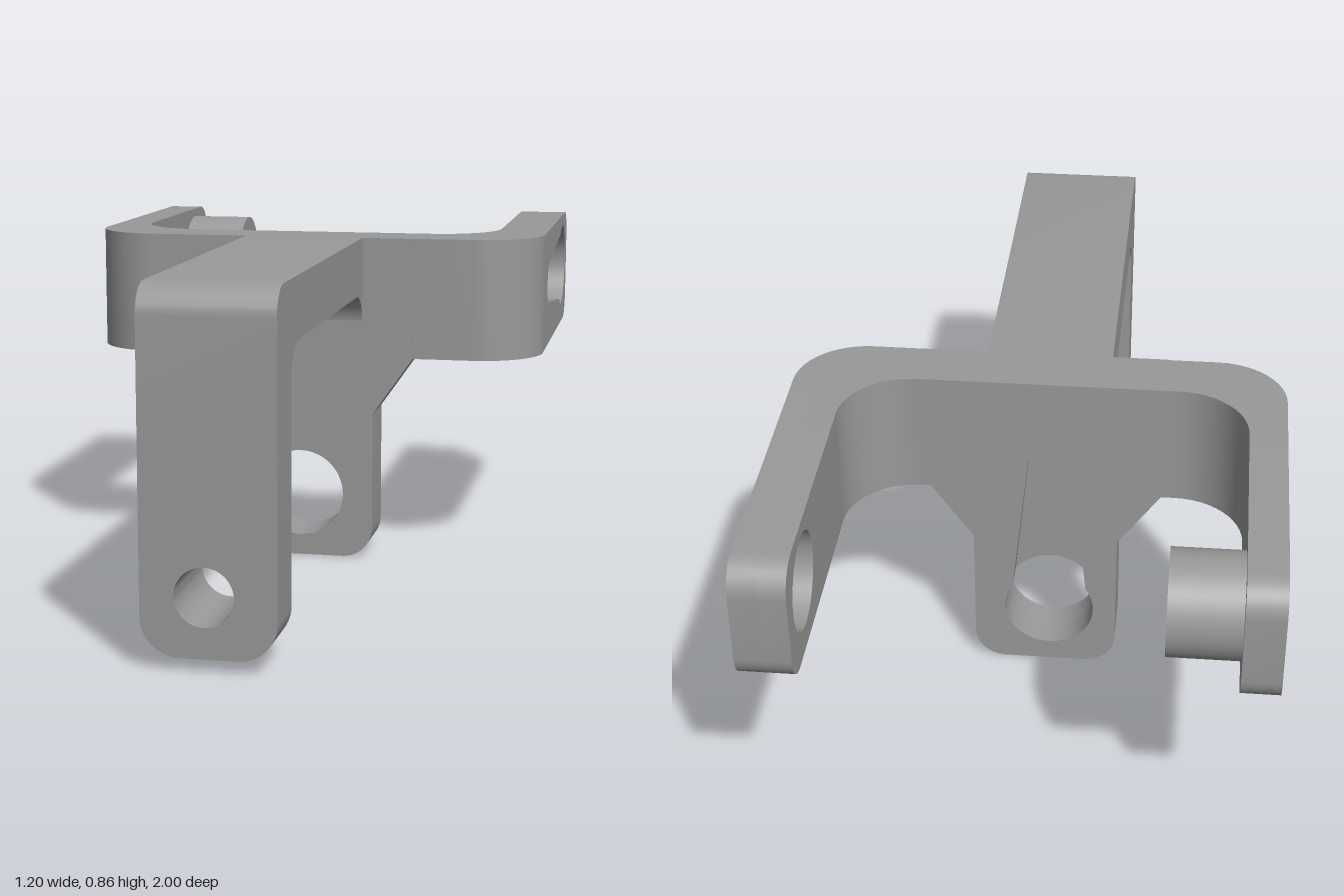
import * as THREE from 'three';
import { toCreasedNormals } from 'three/addons/utils/BufferGeometryUtils.js';

// Closed outline from [x, y, r] corners; r rounds a right-angled corner
function outline(corners) {
  const pts = [];
  corners.forEach(([x, y, r], i) => {
    const p = new THREE.Vector2(x, y);
    if (!r) { pts.push(p); return; }
    const n = corners.length;
    const toward = (c) => new THREE.Vector2(c[0], c[1]).sub(p).normalize();
    const d1 = toward(corners[(i + n - 1) % n]);
    const d2 = toward(corners[(i + 1) % n]);
    const c = p.clone().addScaledVector(d1, r).addScaledVector(d2, r);
    for (let k = 0; k <= 12; k++) {
      const t = (k / 12) * Math.PI / 2;
      pts.push(c.clone().addScaledVector(d2, -r * Math.cos(t)).addScaledVector(d1, -r * Math.sin(t)));
    }
  });
  return new THREE.Shape(pts);
}

function circle(x, y, r) {
  const pts = [];
  for (let k = 0; k < 48; k++) {
    const t = (k / 48) * Math.PI * 2;
    pts.push(new THREE.Vector2(x + r * Math.cos(t), y + r * Math.sin(t)));
  }
  return new THREE.Shape(pts);
}

// Keyhole-like pocket: a big circle with a tapering, round-tipped slot
function hornPocket(x, y, angle) {
  const R = 0.115, tip = 0.055, reach = 0.44, a0 = 0.97;
  const pts = [];
  for (let k = 0; k <= 40; k++) {
    const t = a0 + (k / 40) * (2 * Math.PI - 2 * a0);
    pts.push(new THREE.Vector2(R * Math.cos(t), R * Math.sin(t)));
  }
  for (let k = 0; k <= 16; k++) {
    const t = -Math.PI / 2 + (k / 16) * Math.PI;
    pts.push(new THREE.Vector2(reach + tip * Math.cos(t), tip * Math.sin(t)));
  }
  const origin = new THREE.Vector2();
  const move = new THREE.Vector2(x, y);
  return new THREE.Path(pts.map((p) => p.rotateAround(origin, angle).add(move)));
}

export function createModel() {
  const model = new THREE.Group();
  model.name = 'forkBracket';
  const grey = new THREE.MeshStandardMaterial({ color: 0x999999 });
  grey.name = 'grey';

  // Extrudes a shape along an axis from one coordinate to another.
  // Shape axes: z -> (x, y), x -> (-z, y), y -> (x, -z)
  function slab(name, shape, axis, from, to, hole) {
    if (hole) shape.holes.push(hole);
    let g = new THREE.ExtrudeGeometry(shape, { depth: to - from, bevelEnabled: false });
    g.translate(0, 0, from);
    if (axis === 'x') g.rotateY(Math.PI / 2);
    if (axis === 'y') g.rotateX(-Math.PI / 2);
    g = toCreasedNormals(g, 0.5);
    const mesh = new THREE.Mesh(g, grey);
    mesh.name = name;
    model.add(mesh);
  }

  const low = 0.54, top = 0.855;
  const holeX = -0.024, holeY = 0.17;
  const armU = 0.833, armY = 0.71;

  // Centre panel with the hanging tab: through hole in front, pocket behind
  const panel = () => outline([
    [-0.305, top], [-0.305, low], [-0.197, 0.39], [-0.197, 0, 0.08],
    [0.17, 0, 0.08], [0.17, 0.39], [0.275, low], [0.275, top],
  ]);
  slab('tabFrontLayer', panel(), 'z', -0.125, -0.053, circle(holeX, holeY, 0.115));
  slab('tabBackLayer', panel(), 'z', -0.198, -0.125, hornPocket(holeX, holeY, Math.PI / 2));

  // Rounded elbows of the fork
  slab('rightElbow', outline([
    [-0.305, 0.055], [-0.305, 0.198], [-0.51, 0.198, 0.17], [-0.51, 0.4],
    [-0.6, 0.4], [-0.6, 0.055, 0.17],
  ]), 'y', low, top);
  slab('leftElbow', outline([
    [0.275, 0.055], [0.6, 0.055, 0.17], [0.6, 0.25], [0.535, 0.25],
    [0.535, 0.4], [0.47, 0.4], [0.47, 0.198, 0.17], [0.275, 0.198],
  ]), 'y', low, top);

  // Fork arms: plain right arm with boss, pocketed left arm
  const arm = (start, end) => outline([
    [start, low], [end, low, 0.075], [end, top, 0.075], [start, top],
  ]);
  slab('rightArm', arm(0.4, 0.975), 'x', -0.6, -0.51, circle(armU, armY, 0.07));
  slab('rightArmBoss', circle(armU, armY, 0.122), 'x', -0.51, -0.343, circle(armU, armY, 0.07));
  slab('leftArmInnerLayer', arm(0.4, 1), 'x', 0.47, 0.535, circle(armU, armY, 0.115));
  slab('leftArmOuterLayer', arm(0.25, 1), 'x', 0.535, 0.6, hornPocket(armU, armY, Math.PI));

  // Front bar: bends down at the front and is filleted into the panel
  const bar = [
    [-1, 0.5], [-0.853, 0.5], [-0.853, 0.71, 0.085], [0.054, 0.71, 0.085],
    [0.054, 0.6], [0.06, 0.6], [0.06, top], [-1, top, 0.07],
  ];
  slab('frontBar', outline(bar), 'x', -0.17, 0.141);

  // Front leg with rounded foot, hole and boss on its inner side
  slab('frontLeg', outline([
    [-0.17, 0.5], [-0.17, 0.03, 0.09], [0.141, 0.03, 0.09], [0.141, 0.5],
  ]), 'z', 0.853, 1, circle(holeX, holeY, 0.068));
  slab('frontLegBoss', circle(holeX, holeY, 0.128), 'z', 0.742, 0.853, circle(holeX, holeY, 0.068));

  return model;
}
